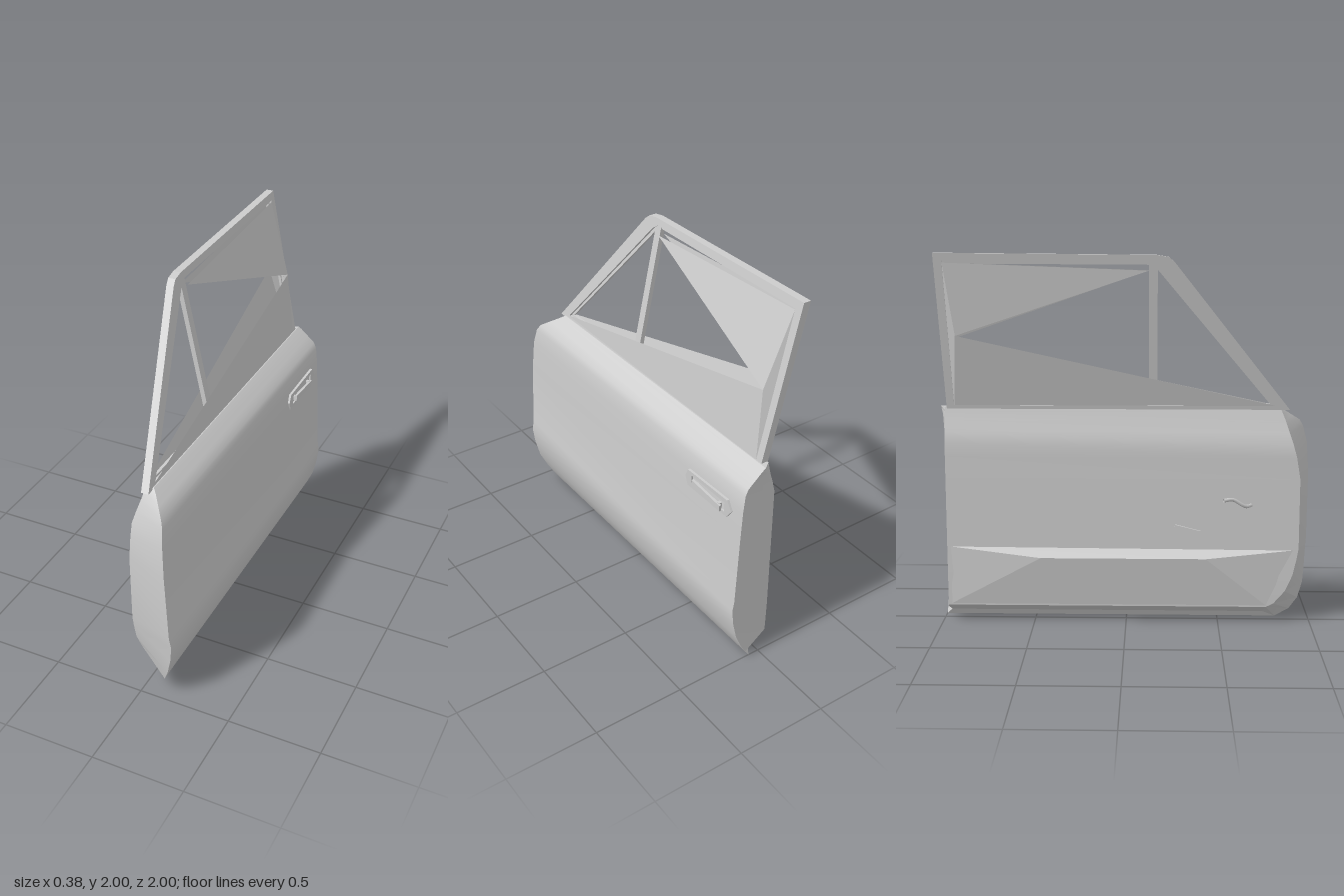
import * as THREE from 'three';
import { toCreasedNormals } from 'three/addons/utils/BufferGeometryUtils.js';

const paint = new THREE.MeshStandardMaterial({ color: 0xcccccc, side: THREE.DoubleSide });
paint.name = 'light grey';

// Surface stretched between two edge curves with the same number of points
function sheet(name, a, b) {
  const pos = [], idx = [];
  a.forEach((p, i) => {
    pos.push(...p, ...b[i]);
    if (i) {
      const k = 2 * i;
      idx.push(k - 2, k, k - 1, k - 1, k, k + 1);
    }
  });
  const g = new THREE.BufferGeometry();
  g.setAttribute('position', new THREE.Float32BufferAttribute(pos, 3));
  g.setIndex(idx);
  return part(name, toCreasedNormals(g, 0.5));
}

function part(name, geometry) {
  const m = new THREE.Mesh(geometry, paint);
  m.name = name;
  return m;
}

// Flat triangle fan
function panel(name, ...pts) {
  const pos = [];
  for (let i = 1; i < pts.length - 1; i++) pos.push(...pts[0], ...pts[i], ...pts[i + 1]);
  const g = new THREE.BufferGeometry();
  g.setAttribute('position', new THREE.Float32BufferAttribute(pos, 3));
  g.computeVertexNormals();
  return part(name, g);
}

// Plate drawn as (z, y) points, with thickness from x0 to x1
function plate(name, outline, hole, x0, x1) {
  const vec = (list) => list.map(([z, y]) => new THREE.Vector2(-z, y));
  const s = new THREE.Shape(vec(outline));
  if (hole) s.holes.push(new THREE.Path(vec(hole)));
  const g = new THREE.ExtrudeGeometry(s, { depth: x1 - x0, bevelEnabled: false });
  g.rotateY(Math.PI / 2);
  g.translate(x0, 0, 0);
  return part(name, g);
}

function box(name, w, h, d, x, y, z) {
  const m = part(name, new THREE.BoxGeometry(w, h, d));
  m.position.set(x, y, z);
  return m;
}

// The window frame leans inward with height
const LEAN = 0.21;
function lean(mesh) {
  const p = mesh.geometry.attributes.position;
  for (let i = 0; i < p.count; i++) p.setX(i, p.getX(i) - (p.getY(i) - 1.18) * LEAN);
  mesh.geometry.computeVertexNormals();
  return mesh;
}

export function createModel() {
  const door = new THREE.Group();
  door.name = 'door';

  // Rows from belt to sill: outer x, y, front z, then inner x, y, front z
  const rows = [
    [0.02, 1.18, 0.82, -0.02, 1.18, 0.82],
    [0.04, 1.165, 0.84, -0.025, 1.16, 0.83],
    [0.08, 1.13, 0.89, -0.037, 1.11, 0.85],
    [0.12, 1.095, 0.94, -0.055, 1.05, 0.87],
    [0.135, 1.06, 0.96, -0.07, 0.99, 0.89],
    [0.145, 0.97, 0.985, -0.07, 0.92, 0.91],
    [0.155, 0.8, 0.998, -0.07, 0.8, 0.93],
    [0.173, 0.42, 0.998, -0.07, 0.42, 0.93],
    [0.183, 0.36, 0.995, -0.07, 0.36, 0.92],
    [0.173, 0.27, 0.99, -0.07, 0.27, 0.9],
    [0.15, 0.17, 0.98, -0.068, 0.18, 0.86],
    [0.115, 0.09, 0.95, -0.066, 0.11, 0.8],
    [0.085, 0.035, 0.9, -0.065, 0.09, 0.76],
    [0.06, 0, 0.82, 0.045, 0.03, 0.75],
  ];
  const outerFront = rows.map((r) => [r[0], r[1], r[2]]);
  const outerRear = rows.map((r) => [r[0], r[1], -1]);
  const innerFront = rows.map((r) => [r[3], r[4], r[5]]);
  const innerRear = rows.map((r) => [r[3], r[4], -0.97]);
  door.add(
    sheet('outerSkin', outerRear, outerFront),
    sheet('innerPanel', innerFront, innerRear),
    sheet('frontJamb', outerFront, innerFront),
    sheet('rearJamb', innerRear, outerRear),
    panel('beltTop', outerRear[0], outerFront[0], innerFront[0], innerRear[0]),
    panel('sill', outerFront[13], outerRear[13], innerRear[13], innerFront[13]),
  );

  // Window frame, with an inner seal set inside it
  const opening = [[0.79, 1.19], [0.175, 1.93], [0.14, 1.955], [-0.94, 1.96], [-0.92, 1.19]];
  door.add(lean(plate('windowFrame',
    [[0.87, 1.17], [0.25, 1.955], [0.22, 1.98], [0.16, 1.99], [-0.985, 2.0], [-0.96, 1.17]],
    opening, -0.025, 0.015)));
  door.add(lean(plate('windowSeal', opening,
    [[0.765, 1.2], [0.165, 1.915], [0.14, 1.94], [-0.93, 1.945], [-0.91, 1.2]], -0.015, 0)));
  door.add(lean(plate('quarterPost',
    [[0.165, 1.18], [0.165, 1.95], [0.12, 1.95], [0.12, 1.18]], null, -0.02, 0.005)));

  // Folded window sheets meeting at the rear, one layer each side of the frame
  const layers = [
    ['outer', 0.015, [-0.02, 1.55, -0.9]],
    ['inner', -0.02, [-0.13, 1.57, -0.89]],
  ];
  for (const [side, x, apex] of layers) {
    const at = (y, z) => [x - (y - 1.18) * LEAN, y, z];
    door.add(
      panel(side + 'UpperSheet', at(1.91, 0.12), apex, at(1.95, -0.94)),
      panel(side + 'LowerSheet', at(1.19, 0.8), at(1.18, -0.92), apex),
      panel(side + 'RearFold', at(1.95, -0.94), apex, at(1.18, -0.92)),
    );
  }

  // Map pocket on the inner panel
  const a = [-0.07, 0.42, -0.95], b = [-0.112, 0.37, -0.46];
  const c = [-0.112, 0.37, 0.43], d = [-0.07, 0.41, 0.9];
  const e = [-0.068, 0.1, 0.76], f = [-0.068, 0.1, -0.95];
  door.add(
    panel('pocketFace', f, b, c, e),
    panel('pocketRear', f, a, b),
    panel('pocketFront', c, d, e),
    panel('pocketTop', a, d, c, b),
  );

  // Outer pull handle in its surround
  door.add(plate('handleSurround',
    [[-0.55, 0.93], [-0.57, 0.975], [-0.89, 0.98], [-0.925, 0.93], [-0.89, 0.88], [-0.57, 0.88]],
    [[-0.6, 0.9], [-0.6, 0.955], [-0.87, 0.955], [-0.87, 0.9]], 0.14, 0.158));
  const grip = box('pullHandle', 0.014, 0.035, 0.23, 0.166, 0.92, -0.735);
  grip.rotation.x = -0.08;
  door.add(grip);
  for (const z of [-0.64, -0.83]) door.add(box('handleMount', 0.02, 0.025, 0.02, 0.155, 0.92, z));

  // Inner release lever and window winder
  const lever = new THREE.CatmullRomCurve3([
    new THREE.Vector3(-0.07, 0.66, 0.67), new THREE.Vector3(-0.1, 0.66, 0.64),
    new THREE.Vector3(-0.115, 0.7, 0.57), new THREE.Vector3(-0.14, 0.7, 0.52),
  ]);
  door.add(part('releaseLever', new THREE.TubeGeometry(lever, 10, 0.01, 6)));
  const winder = box('winderArm', 0.012, 0.02, 0.14, -0.077, 0.525, 0.33);
  winder.rotation.x = 0.25;
  door.add(winder);
  return door;
}
